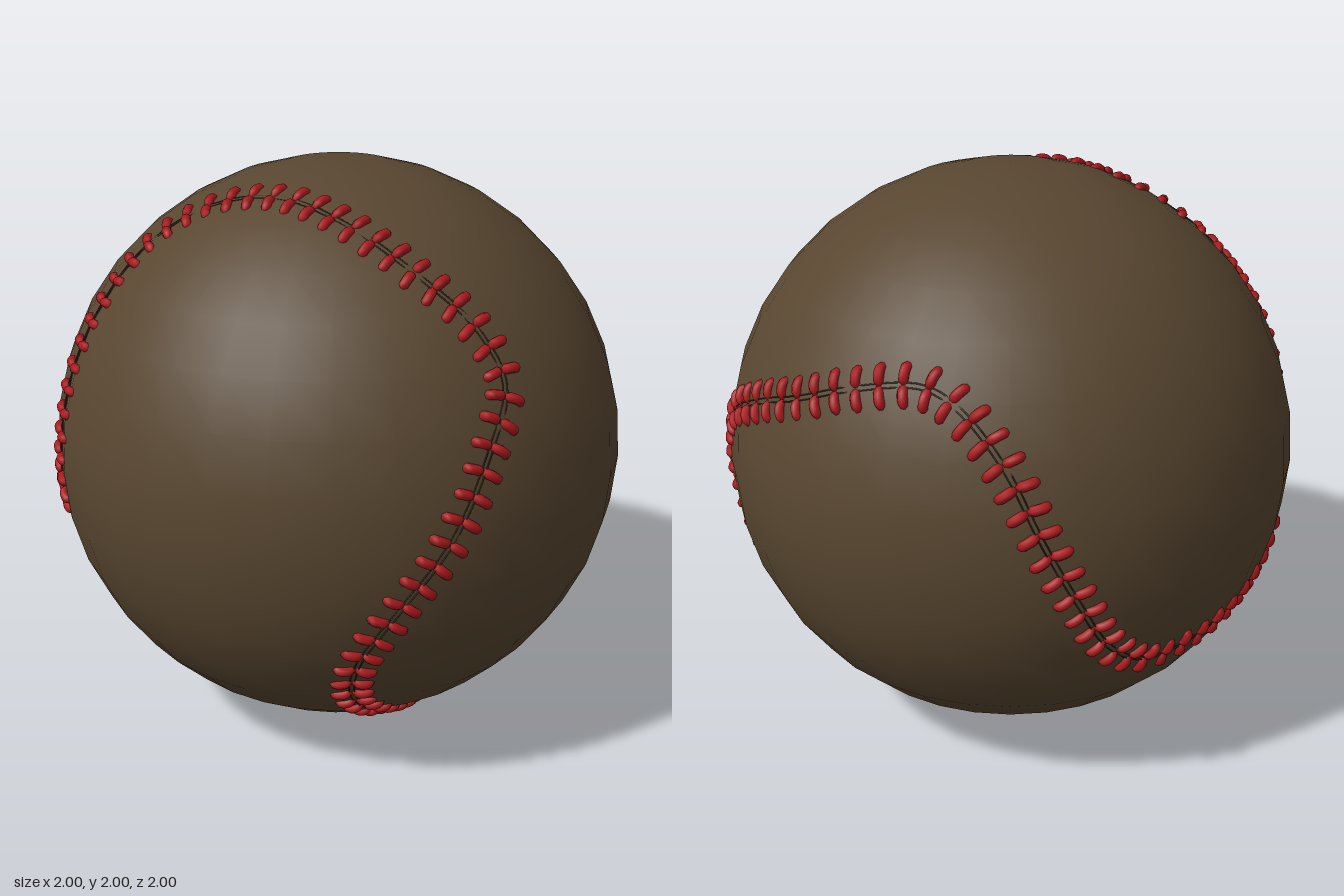
import * as THREE from 'three';
import { mergeGeometries } from 'three/addons/utils/BufferGeometryUtils.js';

const leather = new THREE.MeshStandardMaterial({ color: 0x584630 });
leather.name = 'brown leather';
const thread = new THREE.MeshStandardMaterial({ color: 0xaa1a1d });
thread.name = 'red thread';
const groove = new THREE.MeshStandardMaterial({ color: 0x3a3023 });
groove.name = 'dark seam';

// Closed seam path: directions from the ball centre
const SEAM = [
  [-0.79, -0.12, 0.6], [-0.74, 0.1, 0.66], [-0.7, 0.35, 0.63], [-0.62, 0.56, 0.55],
  [-0.5, 0.75, 0.43], [-0.3, 0.88, 0.36], [-0.05, 0.93, 0.36], [0.2, 0.89, 0.42],
  [0.45, 0.77, 0.46], [0.66, 0.61, 0.45], [0.76, 0.45, 0.47], [0.76, 0.28, 0.59],
  [0.69, 0.02, 0.72], [0.55, -0.22, 0.81], [0.42, -0.43, 0.8], [0.36, -0.62, 0.7],
  [0.36, -0.78, 0.5], [0.37, -0.88, 0.28], [0.36, -0.93, 0.05], [0.36, -0.925, -0.12],
  [0.385, -0.89, -0.25], [0.39, -0.82, -0.42], [0.46, -0.72, -0.52], [0.58, -0.58, -0.57],
  [0.68, -0.38, -0.62], [0.75, -0.2, -0.63], [0.75, 0, -0.66], [0.67, 0.18, -0.72],
  [0.42, 0.34, -0.85], [0.2, 0.42, -0.89], [0, 0.49, -0.87], [-0.24, 0.53, -0.81],
  [-0.36, 0.48, -0.8], [-0.51, 0.33, -0.79], [-0.63, 0.11, -0.77], [-0.71, -0.11, -0.69],
  [-0.76, -0.32, -0.57], [-0.8, -0.44, -0.4], [-0.88, -0.44, -0.18], [-0.92, -0.39, 0.07],
  [-0.9, -0.31, 0.3],
].map((p) => new THREE.Vector3(...p).normalize());

const path = new THREE.CatmullRomCurve3(SEAM, true, 'centripetal');
path.arcLengthDivisions = 800;

// Local frame on the ball: outward normal, along the seam, across the seam
function frame(u) {
  const n = path.getPointAt(u).normalize();
  const t = path.getTangentAt(u);
  t.addScaledVector(n, -t.dot(n)).normalize();
  return { n, t, w: new THREE.Vector3().crossVectors(n, t) };
}

// Point offset from the seam, lifted to a given radius
function offset({ n, t, w }, along, across, radius) {
  return n.clone().addScaledVector(t, along).addScaledVector(w, across).setLength(radius);
}

// One half stitch: a short thick thread with blunt ends sunk into the leather
function halfStitch(f, side) {
  const curve = new THREE.CatmullRomCurve3([
    offset(f, -0.003, side * 0.012, 0.98),
    offset(f, -0.002, side * 0.017, 0.994),
    offset(f, 0, side * 0.036, 0.999),
    offset(f, 0.003, side * 0.056, 0.994),
    offset(f, 0.004, side * 0.062, 0.978),
  ]);
  return new THREE.TubeGeometry(curve, 8, 0.0165, 8);
}

// Places where the thread is worn away or sunk under the leather
function isWorn({ n }, i) {
  const underneath = n.y < -0.92 && i % 2 === 1;
  const sunk = n.x < -0.82 && n.z > 0.38 && n.z < 0.52;
  return underneath || sunk;
}

export function createModel() {
  const model = new THREE.Group();
  model.name = 'stitchedBall';
  const centre = new THREE.Group();
  centre.name = 'ballParts';
  centre.position.y = 1;
  model.add(centre);

  const add = (geometry, material, name) => {
    const mesh = new THREE.Mesh(geometry, material);
    mesh.name = name;
    centre.add(mesh);
  };

  // Leather ball
  add(new THREE.SphereGeometry(0.998, 32, 18), leather, 'ball');

  // Two fine dark seam lines side by side
  const lines = [-1, 1].map((side) => {
    const pts = [];
    for (let i = 0; i < 160; i++) pts.push(offset(frame(i / 160), 0, side * 0.008, 0.994));
    return new THREE.TubeGeometry(new THREE.CatmullRomCurve3(pts, true), 240, 0.0025, 5, true);
  });
  add(mergeGeometries(lines), groove, 'seamLines');

  // Stitch pairs
  const stitches = [];
  const count = 119;
  for (let i = 0; i < count; i++) {
    const f = frame((i + 0.23) / count);
    if (!isWorn(f, i)) stitches.push(halfStitch(f, -1), halfStitch(f, 1));
  }
  add(mergeGeometries(stitches), thread, 'stitches');

  return model;
}
